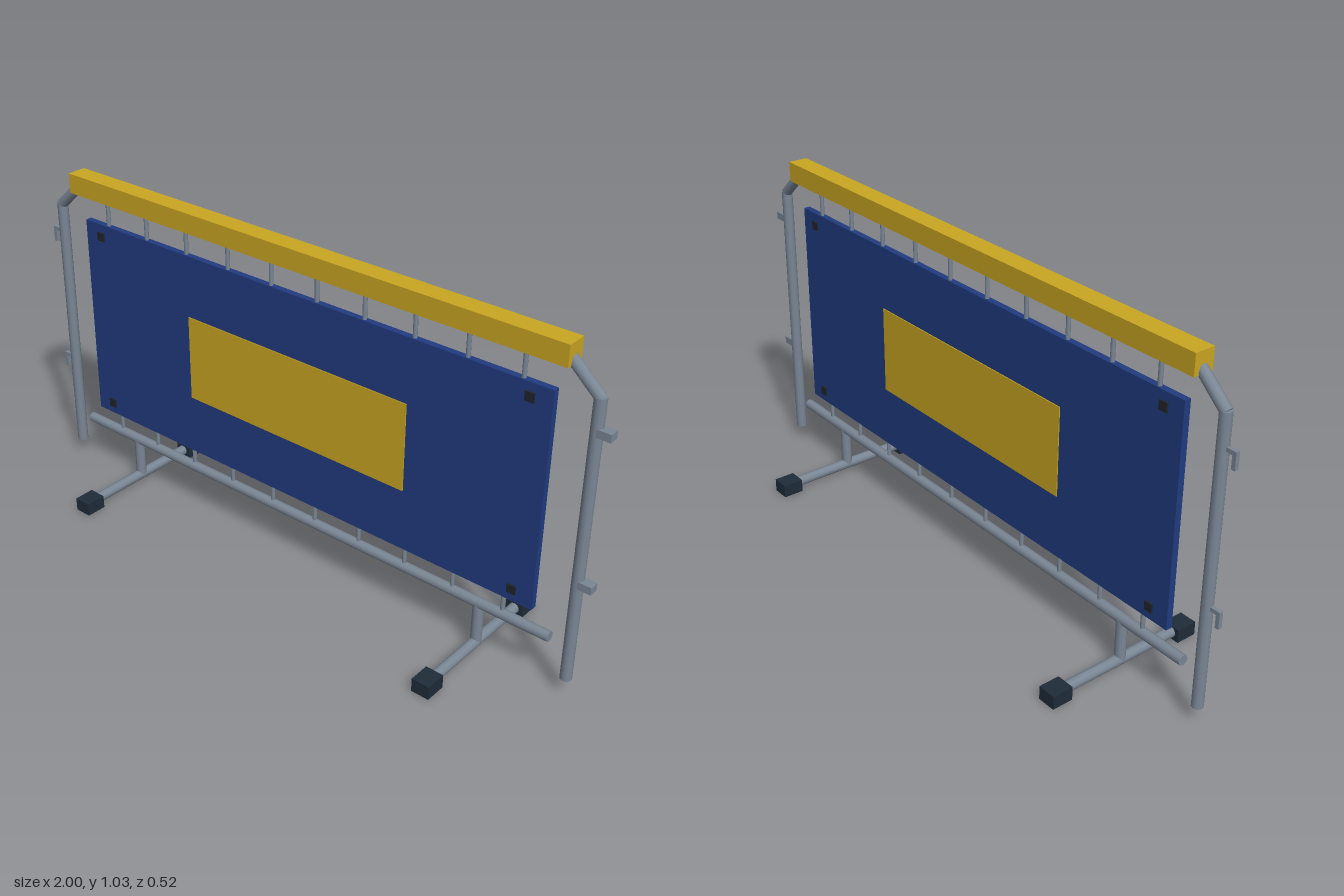
import * as THREE from 'three';

const mat = (name, color) => {
  const m = new THREE.MeshStandardMaterial({ color, flatShading: false });
  m.name = name;
  return m;
};

export function createModel() {
  const steel = mat('galvanised steel', 0x7b8795);
  const blue = mat('blue panel', 0x213b7f);
  const yellow = mat('yellow', 0xcaa622);
  const rubber = mat('dark rubber', 0x1f2c38);
  const clampMat = mat('clamp black', 0x20252b);

  const barrier = new THREE.Group();
  barrier.name = 'crowdBarrier';

  const add = (name, geometry, material) => {
    const mesh = new THREE.Mesh(geometry, material);
    mesh.name = name;
    barrier.add(mesh);
    return mesh;
  };
  const box = (name, material, w, h, d, x, y, z) =>
    add(name, new THREE.BoxGeometry(w, h, d), material).position.set(x, y, z);

  // Straight round bar between two points
  const bar = (name, a, b, r, sides = 10) => {
    const from = new THREE.Vector3(...a);
    const to = new THREE.Vector3(...b);
    const dir = to.clone().sub(from);
    const mesh = add(name, new THREE.CylinderGeometry(r, r, dir.length(), sides), steel);
    mesh.position.copy(from).add(to).multiplyScalar(0.5);
    mesh.quaternion.setFromUnitVectors(new THREE.Vector3(0, 1, 0), dir.normalize());
  };

  // Horizontal rails, the upper one inside its yellow cover
  bar('topRail', [-0.865, 0.988, 0], [0.865, 0.988, 0], 0.016);
  bar('bottomRail', [-0.892, 0.157, 0], [0.892, 0.157, 0], 0.016);
  box('railCover', yellow, 1.75, 0.062, 0.062, 0, 0.999, 0);

  // Infill pickets
  for (let i = 0; i < 10; i++) {
    const x = (i - 4.5) * 0.165;
    bar('picket', [x, 0.157, 0], [x, 0.985, 0], 0.0065, 8);
  }

  // Sign panel with a yellow plate on each face
  box('signPanel', blue, 1.67, 0.663, 0.02, 0, 0.5535, 0);
  for (const s of [-1, 1]) {
    box('signPlate', yellow, 0.806, 0.274, 0.003, 0, 0.551, s * 0.0113);
  }

  for (const s of [-1, 1]) {
    // Side post and its slanted shoulder
    bar('sidePost', [s * 0.953, 0.05, 0], [s * 0.953, 0.908, 0], 0.017);
    bar('shoulder', [s * 0.955, 0.903, 0], [s * 0.865, 0.984, 0], 0.0165);

    // T-shaped foot with rubber ends
    const x = s * 0.667;
    bar('footStem', [x, 0.023, 0], [x, 0.157, 0], 0.0165);
    bar('footBar', [x, 0.023, -0.24], [x, 0.023, 0.24], 0.0165);
    for (const z of [-0.229, 0.229]) {
      box('rubberFoot', rubber, 0.056, 0.042, 0.066, x, 0.021, z);
    }

    // Clamps at the panel corners, showing on both faces
    for (const y of [0.26, 0.845]) {
      box('panelClamp', clampMat, 0.027, 0.027, 0.03, s * 0.77, y, 0);
    }
  }

  // Linking hooks on one post, receiving brackets on the other
  for (const y of [0.366, 0.815]) {
    box('hookArm', steel, 0.047, 0.012, 0.012, -0.9765, y - 0.002, 0);
    box('hookPin', steel, 0.012, 0.05, 0.012, -0.994, y - 0.021, 0);
    box('linkBracket', steel, 0.045, 0.023, 0.03, 0.9775, y, 0);
  }

  return barrier;
}
